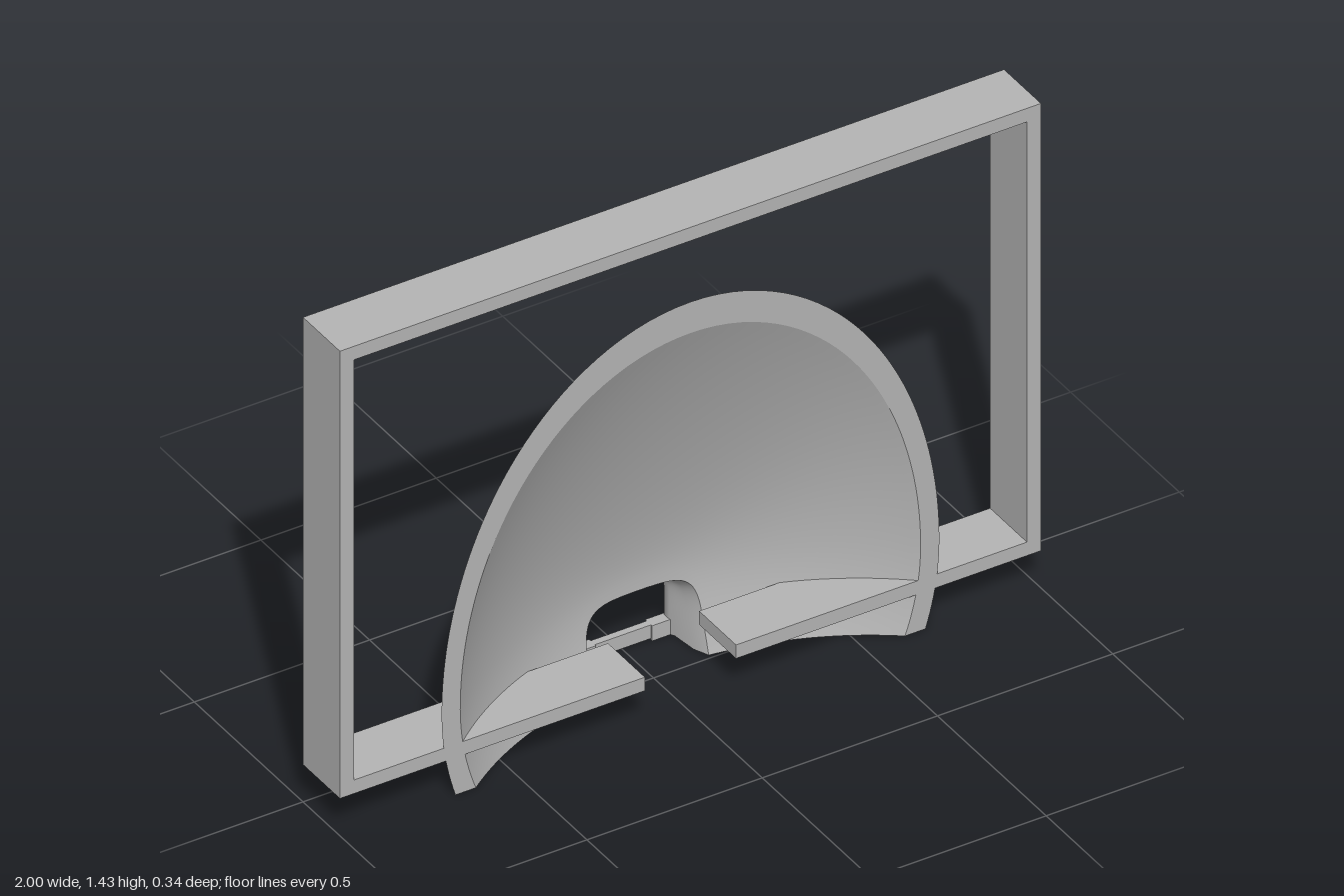
import * as THREE from 'three';

const FRONT = 0.17, MID = 0.25, HALF = 0.71, R = 1.04, WALL = 0.036;

// Bisection for the point where an increasing test becomes positive
function solve(f, lo, hi) {
  for (let i = 0; i < 26; i++) {
    const m = (lo + hi) / 2;
    if (f(m) > 0) hi = m; else lo = m;
  }
  return (lo + hi) / 2;
}

// Depth of the outer shell: egg-shaped level curves on a circular bowl
function outerZ(x, y) {
  const dy = y - MID;
  const t = solve(t => {
    const h = dy > 0 ? t * (0.41 + 0.55 * t) : t * (0.4 + 0.36 * t);
    return 1 - (x / (HALF * t)) ** 2 - (dy / h) ** 2;
  }, 0.0005, 1.35);
  return -0.11 + R - Math.sqrt(R * R - (HALF * t) ** 2);
}

// Inner skin, an even wall thickness inside the outer one
function innerZ(x, y) {
  const e = 0.004, z = outerZ(x, y);
  const gx = (outerZ(x + e, y) - z) / e, gy = (outerZ(x, y + e) - z) / e;
  return z + WALL * Math.sqrt(1 + gx * gx + gy * gy);
}

// Rounded arch radius at an angle
function arch(a, w, h, n) {
  return (Math.abs(Math.cos(a) / w) ** n + Math.abs(Math.sin(a) / h) ** n) ** (-1 / n);
}

// Smooth surface patch from a rule fn(u, v) -> [x, y, z]
function patch(nu, nv, fn) {
  const pos = [], idx = [];
  for (let i = 0; i <= nu; i++) {
    for (let j = 0; j <= nv; j++) pos.push(...fn(i / nu, j / nv));
  }
  for (let i = 0; i < nu; i++) {
    for (let j = 0; j < nv; j++) {
      const a = i * (nv + 1) + j, b = a + nv + 1;
      idx.push(a, a + 1, b, b, a + 1, b + 1);
    }
  }
  const g = new THREE.BufferGeometry();
  g.setAttribute('position', new THREE.Float32BufferAttribute(pos, 3));
  g.setIndex(idx);
  g.computeVertexNormals();
  return g;
}

export function createModel() {
  const model = new THREE.Group();
  const grey = new THREE.MeshStandardMaterial({ color: 0xb4b4b4, side: THREE.DoubleSide });
  grey.name = 'plain grey';

  function add(name, geometry, parent = model) {
    const m = new THREE.Mesh(geometry, grey);
    m.name = name;
    parent.add(m);
    return m;
  }
  function box(name, x0, x1, y0, y1, z0, z1, parent) {
    const g = new THREE.BoxGeometry(x1 - x0, y1 - y0, z1 - z0);
    g.translate((x0 + x1) / 2, (y0 + y1) / 2, (z0 + z1) / 2);
    return add(name, g, parent);
  }

  // Rectangular frame; its lower rail is broken in the middle
  const frame = new THREE.Group();
  frame.name = 'frame';
  model.add(frame);
  box('topRail', -1, 1, 1.39, 1.43, 0, FRONT, frame);
  for (const [side, s] of [['left', 1], ['right', -1]]) {
    const span = (a, b) => [Math.min(s * a, s * b), Math.max(s * a, s * b)];
    box(side + 'Post', ...span(0.96, 1), 0.15, 1.39, 0, FRONT, frame);
    box(side + 'LowerRail', ...span(0.13, 1), 0.11, 0.15, 0, FRONT, frame);
  }

  // Shell, fanned out from an arched opening at the base to the front rim
  const shell = new THREE.Group();
  shell.name = 'shell';
  model.add(shell);
  const N = 96;
  const rims = new Map();
  function skin(zAt, u, v) {
    const a = Math.PI * u, c = Math.cos(a), s = Math.sin(a);
    const key = zAt.name + u;
    if (!rims.has(key)) rims.set(key, solve(r => zAt(r * c, r * s) - FRONT, 0.3, 1.4));
    const r0 = arch(a, 0.165, 0.215, 5);
    const r = r0 + (rims.get(key) - r0) * v;
    return [r * c, r * s, zAt(r * c, r * s)];
  }
  add('outerSkin', patch(N, 28, (u, v) => skin(outerZ, u, v)), shell);
  add('innerSkin', patch(N, 28, (u, v) => skin(innerZ, u, 1 - v)), shell);
  add('frontRim', patch(N, 1, (u, v) => skin(v ? innerZ : outerZ, u, 1)), shell);
  for (const u of [0, 1]) {
    add('bottomEdge', patch(28, 1, (p, q) => skin(q ? innerZ : outerZ, u, p)), shell);
  }

  // Hollow housing behind the opening: arch rings as [width, height, roundness, z]
  const housing = new THREE.Group();
  housing.name = 'housing';
  model.add(housing);
  const rings = [
    [0.17, 0.215, 5, 'outer'], [0.17, 0.212, 5, -0.125], [0.166, 0.204, 5, -0.145],
    [0.157, 0.194, 6, -0.158], [0.145, 0.184, 7, -0.164], [0.13, 0.175, 12, -0.162],
    [0.13, 0.175, 12, -0.138], [0.138, 0.183, 8, -0.125], [0.147, 0.196, 6, 'outer'],
    [0.165, 0.215, 5, 'inner'],
  ];
  function ringPoint(u, k) {
    const [w, h, n, z] = rings[k];
    const a = Math.PI * u, r = arch(a, w, h, n);
    const x = r * Math.cos(a), y = r * Math.sin(a);
    const depth = z === 'outer' ? outerZ(x, y) : z === 'inner' ? innerZ(x, y) : z;
    return [x, y, depth];
  }
  const last = rings.length - 1;
  add('housingArch', patch(N, last, (u, v) => ringPoint(u, Math.round(v * last))), housing);

  // Feet of the arch, closed flat on the ground
  for (const u of [0, 1]) {
    const foot = new THREE.Shape();
    rings.forEach((_, k) => {
      const [x, , z] = ringPoint(u, k);
      if (k) foot.lineTo(x, -z); else foot.moveTo(x, -z);
    });
    const g = new THREE.ShapeGeometry(foot);
    g.rotateX(-Math.PI / 2);
    add('housingFoot', g, housing);
  }

  // Sill below the window, with a recessed middle
  for (const s of [1, -1]) {
    box('sillBlock', s > 0 ? 0.08 : -0.14, s > 0 ? 0.14 : -0.08, 0, 0.045, -0.167, -0.135, housing);
  }
  box('sillMiddle', -0.08, 0.08, 0.005, 0.045, -0.16, -0.14, housing);

  return model;
}
